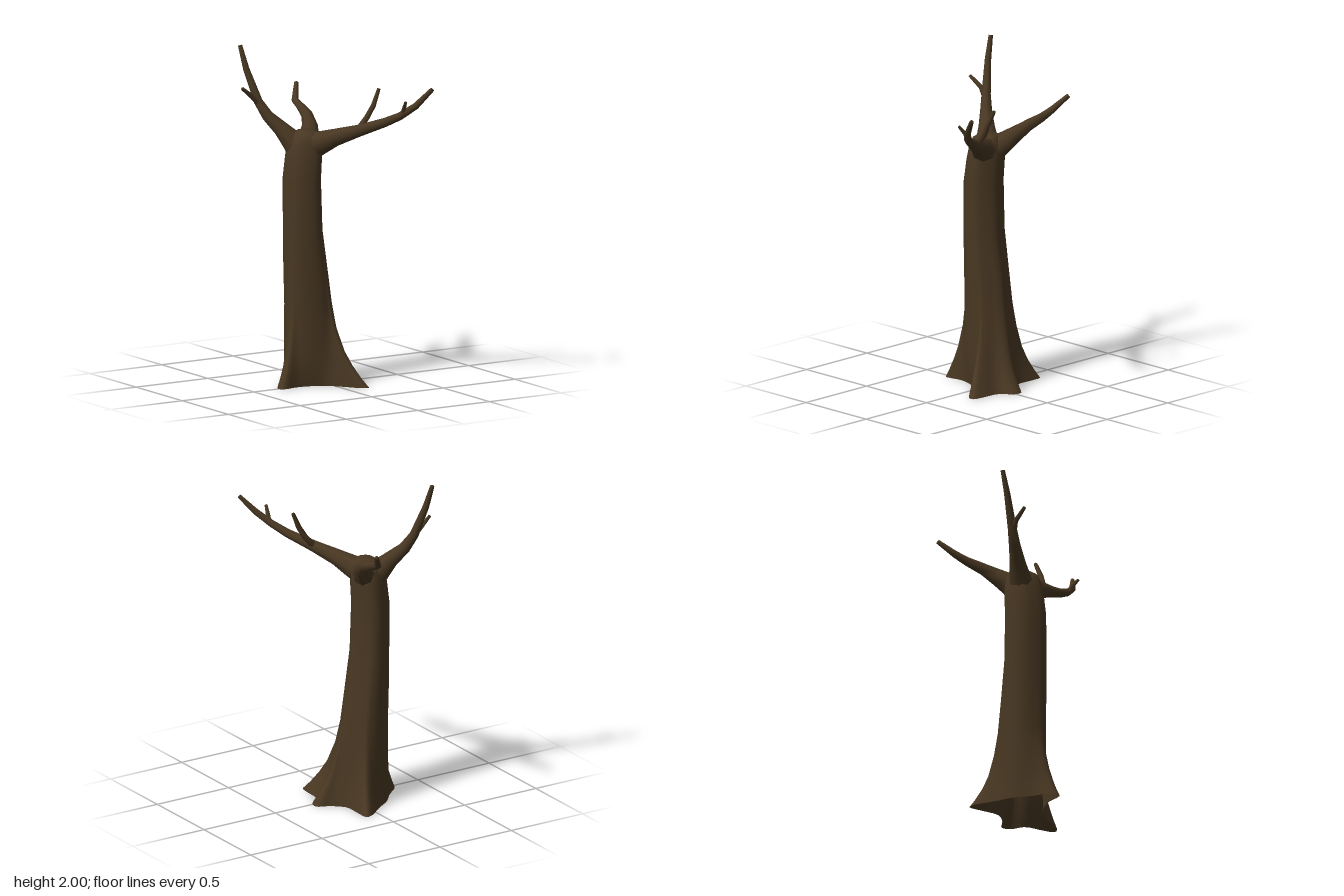
import * as THREE from 'three';

const bark = new THREE.MeshStandardMaterial({ color: 0x483722, side: THREE.DoubleSide });
bark.name = 'dark bark';

// Skin a list of equal-length rings (counter-clockwise about the growth axis), capped at the end.
function loft(name, rings, tip) {
  const n = rings[0].length, pos = [], idx = [];
  rings.forEach(r => r.forEach(p => pos.push(p.x, p.y, p.z)));
  for (let k = 0; k < rings.length - 1; k++)
    for (let i = 0; i < n; i++) {
      const a = k * n + i, b = k * n + (i + 1) % n;
      idx.push(a, b, a + n, b, b + n, a + n);
    }
  const last = (rings.length - 1) * n;
  pos.push(tip.x, tip.y, tip.z);
  for (let i = 0; i < n; i++) idx.push(last + i, last + (i + 1) % n, last + n);
  const g = new THREE.BufferGeometry();
  g.setAttribute('position', new THREE.Float32BufferAttribute(pos, 3));
  g.setIndex(idx);
  g.computeVertexNormals();
  const mesh = new THREE.Mesh(g, bark);
  mesh.name = name;
  return mesh;
}

// Tapered limb through points [x, y, z, radius].
function limb(name, pts, sides = 8) {
  const P = pts.map(p => new THREE.Vector3(p[0], p[1], p[2]));
  const rings = P.map((p, i) => {
    const t = P[Math.min(i + 1, P.length - 1)].clone().sub(P[Math.max(i - 1, 0)]).normalize();
    const u = new THREE.Vector3(0.7, 0, -0.7).addScaledVector(t, -0.7 * (t.x - t.z)).normalize();
    const v = t.clone().cross(u);
    return Array.from({ length: sides }, (_, j) => {
      const a = j / sides * Math.PI * 2;
      return p.clone().addScaledVector(u, Math.cos(a) * pts[i][3]).addScaledVector(v, Math.sin(a) * pts[i][3]);
    });
  });
  return loft(name, rings, P[P.length - 1]);
}

// Trunk: a root outline on the ground that blends upwards into a fluted oval.
function trunk() {
  const outline = [
    [-0.33, 0], [-0.31, 0.03], [-0.2, 0.015], [-0.1, 0.04], [-0.03, 0.08], [0.04, 0.17],
    [0.1, 0.25], [0.14, 0.255], [0.155, 0.17], [0.165, 0.07], [0.235, 0.01], [0.24, -0.045],
    [0.17, -0.08], [0.1, -0.15], [0.095, -0.26], [0.09, -0.35], [0.05, -0.345],
    [-0.06, -0.26], [-0.15, -0.2], [-0.23, -0.11], [-0.31, -0.04],
  ].map(p => new THREE.Vector3(p[0], 0, p[1]));
  const root = new THREE.CatmullRomCurve3(outline, true).getPoints(60).slice(0, 60);
  // [y, centre x, centre z, half width, half depth, root weight]
  const levels = [
    [0, -0.07, -0.07, 0.15, 0.15, 1],
    [0.05, -0.07, -0.07, 0.148, 0.147, 0.8],
    [0.12, -0.07, -0.07, 0.146, 0.145, 0.57],
    [0.2, -0.07, -0.075, 0.145, 0.143, 0.37],
    [0.33, -0.07, -0.08, 0.14, 0.14, 0.18],
    [0.47, -0.073, -0.08, 0.136, 0.138, 0.07],
    [0.7, -0.09, -0.08, 0.126, 0.134, 0.03],
    [0.92, -0.106, -0.08, 0.112, 0.13, 0.01],
    [1.22, -0.11, -0.082, 0.11, 0.127, 0],
    [1.36, -0.095, -0.085, 0.106, 0.122, 0],
    [1.44, -0.088, -0.085, 0.095, 0.112, 0],
    [1.485, -0.085, -0.085, 0.078, 0.093, 0],
    [1.505, -0.082, -0.085, 0.052, 0.062, 0],
  ];
  const rings = levels.map(([y, cx, cz, rx, rz, w]) => root.map(p => {
    const a = Math.atan2(p.z + 0.07, p.x + 0.07);
    const flute = 0.98 + 0.025 * Math.cos(5 * a);
    const x = cx + Math.cos(a) * rx * flute, z = cz + Math.sin(a) * rz * flute;
    return new THREE.Vector3(x + (p.x - x) * w, y, z + (p.z - z) * w);
  }));
  return loft('trunk', rings, new THREE.Vector3(-0.08, 1.508, -0.085));
}

export function createModel() {
  const tree = new THREE.Group();
  tree.name = 'bareTree';
  tree.add(trunk());

  // Main branches
  tree.add(limb('frontBranch', [
    [-0.09, 1.4, -0.08, 0.08], [-0.045, 1.435, -0.01, 0.073], [0.015, 1.48, 0.08, 0.052], [0.1, 1.53, 0.2, 0.036],
    [0.2, 1.59, 0.33, 0.027], [0.255, 1.635, 0.41, 0.023], [0.32, 1.7, 0.48, 0.02], [0.405, 1.8, 0.53, 0.013],
  ]));
  tree.add(limb('backBranch', [
    [-0.08, 1.39, -0.09, 0.08], [-0.03, 1.44, -0.14, 0.068], [0.02, 1.495, -0.2, 0.05], [0.055, 1.545, -0.28, 0.037],
    [0.075, 1.58, -0.38, 0.026], [0.08, 1.61, -0.455, 0.021], [0.14, 1.695, -0.535, 0.013],
  ]));
  tree.add(limb('rightBranch', [
    [-0.1, 1.36, -0.1, 0.08], [-0.14, 1.44, -0.14, 0.068], [-0.19, 1.51, -0.185, 0.048], [-0.25, 1.585, -0.24, 0.035],
    [-0.29, 1.67, -0.28, 0.027], [-0.335, 1.86, -0.34, 0.019], [-0.352, 1.995, -0.38, 0.013],
  ]));

  // Twigs
  tree.add(limb('frontTwig', [
    [0.1, 1.53, 0.19, 0.02], [0.165, 1.6, 0.19, 0.018], [0.205, 1.67, 0.2, 0.016], [0.25, 1.765, 0.19, 0.011],
  ], 6));
  tree.add(limb('frontTipTwig', [
    [0.265, 1.64, 0.42, 0.014], [0.262, 1.68, 0.44, 0.013], [0.25, 1.73, 0.48, 0.009],
  ], 6));
  tree.add(limb('rightTwig', [
    [-0.28, 1.645, -0.265, 0.018], [-0.33, 1.7, -0.28, 0.015], [-0.41, 1.76, -0.265, 0.01],
  ], 6));
  return tree;
}
